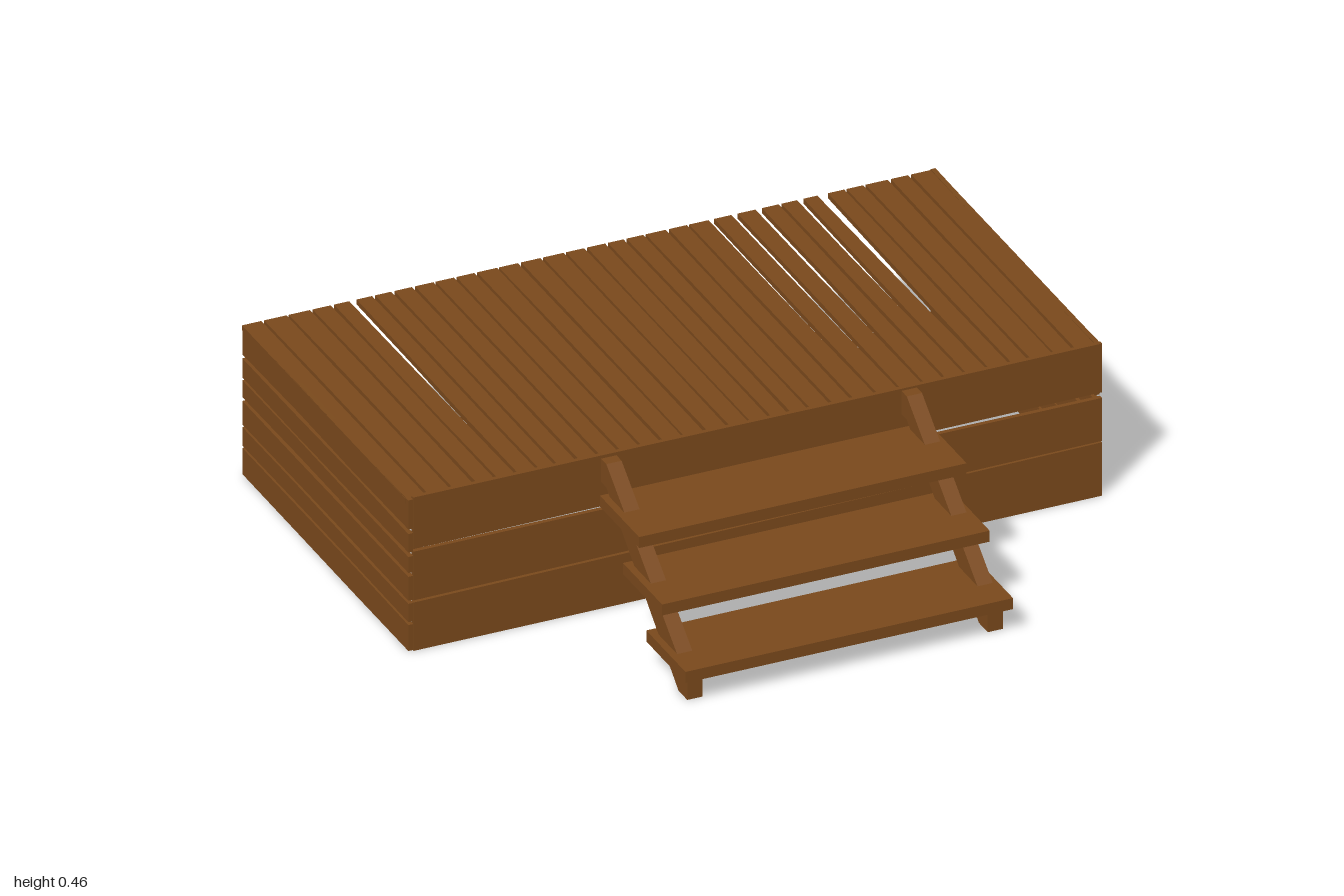
import * as THREE from 'three';

const wood = new THREE.MeshStandardMaterial({ color: 0x7a491c, flatShading: true });

// Small repeatable wear offset in -1..1
let seed = 7;
const wear = (amount) => {
  seed = (seed * 16807) % 2147483647;
  return (seed / 2147483647 * 2 - 1) * amount;
};

function add(group, name, geometry) {
  const mesh = new THREE.Mesh(geometry, wood);
  mesh.name = name;
  group.add(mesh);
  return mesh;
}

// Straight board from its minimum and maximum corners
function board(group, name, a, b) {
  const geo = new THREE.BoxGeometry(b[0] - a[0], b[1] - a[1], b[2] - a[2]);
  geo.translate((a[0] + b[0]) / 2, (a[1] + b[1]) / 2, (a[2] + b[2]) / 2);
  return add(group, name, geo);
}

// Rough plank: runs along local x, with four sections whose long edges wander.
// lowAt and highAt give each edge as [start, end].
function plankGeometry(start, end, lowAt, highAt, thickness, rough) {
  const n = 3;
  const geo = new THREE.BoxGeometry(end - start, 1, thickness, n, 1, 1);
  const low = [], high = [];
  for (let i = 0; i <= n; i++) {
    low.push(THREE.MathUtils.lerp(lowAt[0], lowAt[1], i / n) + wear(rough));
    high.push(THREE.MathUtils.lerp(highAt[0], highAt[1], i / n) + wear(rough));
  }
  const p = geo.attributes.position;
  for (let i = 0; i < p.count; i++) {
    const k = Math.round((p.getX(i) / (end - start) + 0.5) * n);
    p.setY(i, p.getY(i) < 0 ? low[k] : high[k]);
    p.setX(i, p.getX(i) + (start + end) / 2);
  }
  geo.computeVertexNormals();
  return geo;
}

export function createModel() {
  const model = new THREE.Group();
  model.name = 'deckWithSteps';

  // Deck boards between uneven seams, running front to back
  const deck = new THREE.Group();
  deck.name = 'deck';
  model.add(deck);
  const seams = [-1, -0.94, -0.868, -0.8, -0.74, -0.68, -0.62, -0.565, -0.505, -0.445, -0.385,
    -0.325, -0.262, -0.2, -0.135, -0.07, -0.01, 0.05, 0.105, 0.16, 0.225, 0.285, 0.353,
    0.42, 0.49, 0.55, 0.61, 0.675, 0.74, 0.795, 0.865, 0.925, 1];
  const widerAtBack = { 5: 0.007, 22: 0.004, 23: 0.005, 24: 0.006, 26: 0.006, 27: 0.011 };
  for (let i = 0; i < seams.length - 1; i++) {
    const half = (k) => (k === 0 || k === seams.length - 1 ? 0 : 0.004);
    const back = (k) => half(k) + (widerAtBack[k] || 0);
    const l = seams[i], r = seams[i + 1];
    const geo = plankGeometry(-0.215, 0.805, [l + half(i), l + back(i)],
      [r - half(i + 1), r - back(i + 1)], 0.015, i === 0 || i === seams.length - 2 ? 0 : 0.0015);
    // Local x becomes -z, local y becomes x, local z becomes -y
    geo.applyMatrix4(new THREE.Matrix4().set(0, 1, 0, 0, 0, 0, -1, 0.444, -1, 0, 0, 0, 0, 0, 0, 1));
    add(deck, 'deckBoard', geo);
  }

  // Front skirt: three wide planks
  const front = new THREE.Group();
  front.name = 'frontSkirt';
  model.add(front);
  const frontRows = [[[0, 0], [0.145, 0.16]], [[0.152, 0.164], [0.298, 0.293]], [[0.305, 0.309], [0.459, 0.455]]];
  for (const [low, high] of frontRows) {
    const geo = plankGeometry(-0.985, 1, low, high, 0.013, low[0] === 0 ? 0 : 0.0015);
    add(front, 'frontPlank', geo.translate(0, 0, 0.228));
  }

  // Side skirts: six narrow planks each
  const rows = [[0.003, 0.082], [0.09, 0.145], [0.153, 0.225], [0.237, 0.286], [0.296, 0.355], [0.366, 0.452]];
  for (const side of [-1, 1]) {
    const skirt = new THREE.Group();
    skirt.name = side > 0 ? 'leftSkirt' : 'rightSkirt';
    model.add(skirt);
    for (const [lo, hi] of rows) {
      const geo = plankGeometry(side > 0 ? -0.221 : -0.233, 0.805, [lo, lo], [hi, hi], 0.014, 0.0025);
      geo.rotateY(Math.PI / 2);
      add(skirt, 'sidePlank', geo.translate(side * 0.992, 0, 0));
    }
  }

  // Steps: two sloped stringers carrying three treads
  const steps = new THREE.Group();
  steps.name = 'steps';
  model.add(steps);
  const profile = [[0.234, 0.45], [0.267, 0.45], [0.773, 0.055], [0.773, 0], [0.718, 0], [0.267, 0.38], [0.234, 0.38]];
  const shape = new THREE.Shape(profile.map(([z, y]) => new THREE.Vector2(-z, y)));
  for (const x of [-0.444, 0.422]) {
    const geo = new THREE.ExtrudeGeometry(shape, { depth: 0.044, bevelEnabled: false });
    geo.rotateY(Math.PI / 2);
    add(steps, 'stringer', geo).position.x = x;
  }
  const treads = [[0.072, 0.56], [0.2, 0.414], [0.329, 0.27]];
  for (const [y, z] of treads) board(steps, 'tread', [-0.464, y, z], [0.48, y + 0.033, z + 0.245]);

  return model;
}
